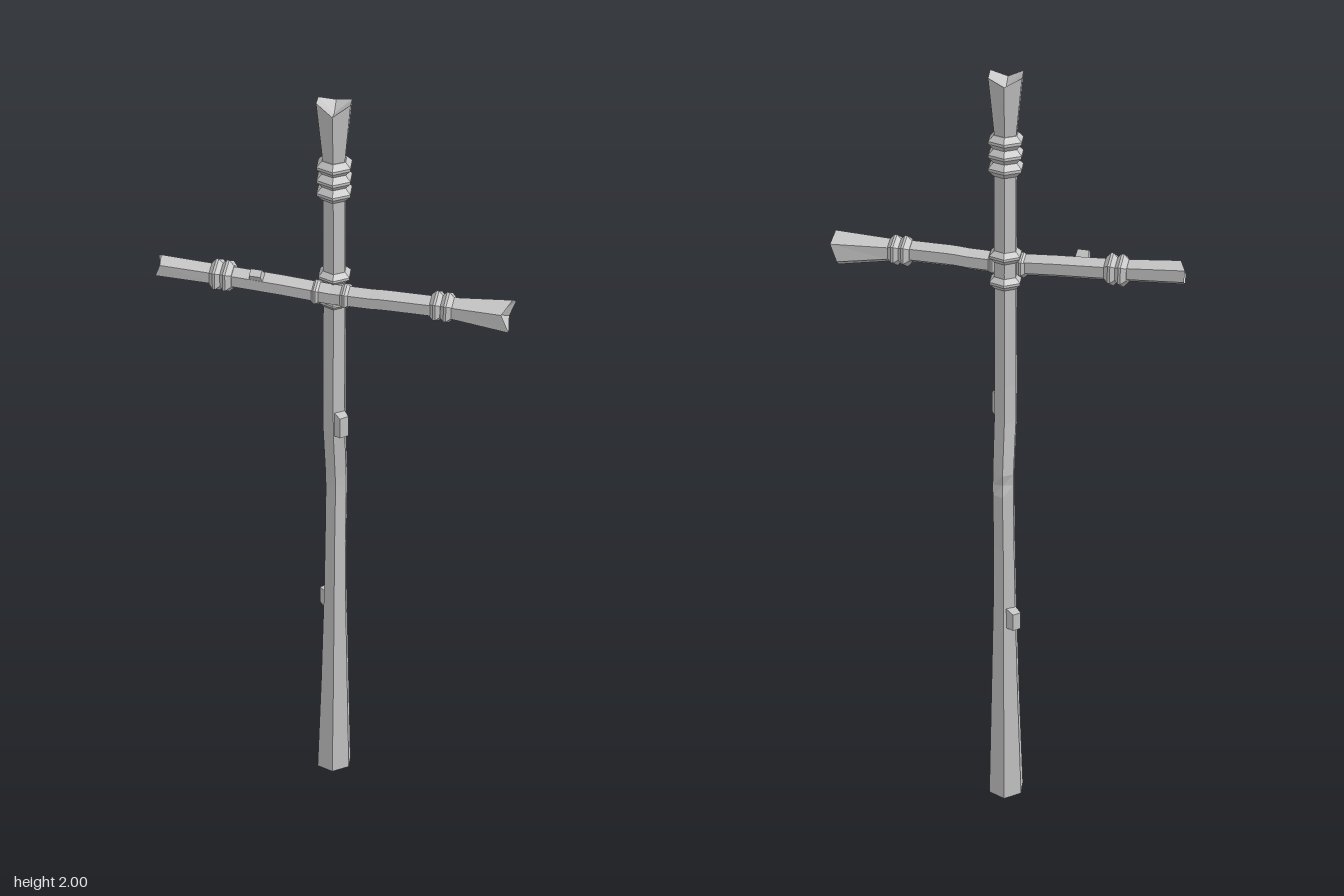
import * as THREE from 'three';

const stone = new THREE.MeshStandardMaterial({ color: 0xc6c6c6, flatShading: true });
stone.name = 'light grey wood';

const SIDES = 6;

// Hexagonal loft along 'y' (u = z, v = x) or 'x' (u = y, v = z).
// Section: [t, u, v, radius, optional end offsets per corner, optional corner pushed in]
function loft(axis, sections, twist, capStart, capEnd) {
  const place = (t, u, v) => (axis === 'y' ? [v, t, u] : [t, u, v]);
  const rings = sections.map(([t, u, v, r, jag, dent]) =>
    Array.from({ length: SIDES }, (_, i) => {
      const a = twist + (i / SIDES) * Math.PI * 2;
      const k = dent === i ? r * 0.7 : r;
      return place(t + (jag ? jag[i] : 0), u + k * Math.cos(a), v + k * Math.sin(a));
    }));
  const pos = [];
  const tri = (a, b, c) => pos.push(...a, ...b, ...c);
  const first = sections[0], last = sections[sections.length - 1];
  const start = place(first[0] + capStart, first[1], first[2]);
  const end = place(last[0] + capEnd, last[1], last[2]);
  for (let i = 0; i < SIDES; i++) {
    const j = (i + 1) % SIDES;
    for (let s = 0; s < rings.length - 1; s++) {
      const a = rings[s], b = rings[s + 1];
      tri(a[i], a[j], b[j]);
      tri(a[i], b[j], b[i]);
    }
    tri(start, rings[0][j], rings[0][i]);
    tri(end, rings[rings.length - 1][i], rings[rings.length - 1][j]);
  }
  const g = new THREE.BufferGeometry();
  g.setAttribute('position', new THREE.Float32BufferAttribute(pos, 3));
  g.computeVertexNormals();
  return g;
}

export function createModel() {
  const model = new THREE.Group();
  const add = (name, geometry) => {
    const mesh = new THREE.Mesh(geometry, stone);
    mesh.name = name;
    model.add(mesh);
    return mesh;
  };
  const poleTwist = THREE.MathUtils.degToRad(10);

  // Upright pole: thick foot, slight bend, flared ragged top
  add('pole', loft('y', [
    [0.01, -0.017, -0.005, 0.049, [0.004, 0.004, -0.004, -0.006, -0.002, 0]],
    [0.3, -0.018, -0.003, 0.04],
    [0.6, -0.019, -0.002, 0.032],
    [0.75, -0.022, -0.002, 0.03],
    [0.9, -0.026, -0.001, 0.03],
    [0.93, -0.026, -0.001, 0.03, null, 3],
    [0.96, -0.025, -0.001, 0.03],
    [1.1, -0.011, -0.002, 0.031],
    [1.2, -0.009, -0.002, 0.031],
    [1.5, -0.012, -0.002, 0.03],
    [1.85, -0.013, -0.003, 0.03],
    [1.985, -0.015, -0.004, 0.046, [-0.008, 0.014, 0.008, -0.006, 0.01, 0.015]],
  ], poleTwist, -0.01, -0.02));

  // Crossbeam: one slim broken end, one flared end
  add('crossbeam', loft('x', [
    [-0.432, 1.525, 0.036, 0.03, [0.008, 0.012, 0, -0.004, -0.006, -0.008]],
    [-0.27, 1.517, 0.026, 0.028],
    [-0.12, 1.511, 0.023, 0.028],
    [0, 1.504, 0.021, 0.028],
    [0.1, 1.506, 0.021, 0.028],
    [0.125, 1.508, 0.021, 0.028, null, 3],
    [0.15, 1.509, 0.021, 0.028],
    [0.24, 1.51, 0.019, 0.028],
    [0.3, 1.509, 0.015, 0.03],
    [0.432, 1.504, 0.006, 0.045, [0.006, -0.012, 0.008, 0, -0.008, 0.008]],
  ], 0, 0.02, -0.025));

  // Wrapped bands, each with a narrow outer ridge
  const band = (name, axis, t, u, v, r, half, twist) =>
    add(name, loft(axis, [
      [t - half, u, v, r * 0.7],
      [t - half * 0.2, u, v, r],
      [t + half * 0.2, u, v, r],
      [t + half, u, v, r * 0.7],
    ], twist, 0, 0));
  for (const y of [1.765, 1.799, 1.833]) band('topBand', 'y', y, -0.013, -0.003, 0.046, 0.017, poleTwist);
  for (const y of [1.473, 1.541]) band('jointBand', 'y', y, -0.012, -0.002, 0.043, 0.015, poleTwist);
  for (const x of [-0.036, 0.036]) band('beamJointBand', 'x', x, 1.505, 0.021, 0.034, 0.014, 0);
  for (const x of [-0.284, -0.258]) band('rightArmBand', 'x', x, 1.517, 0.026, 0.043, 0.015, 0);
  for (const x of [0.259, 0.285]) band('leftArmBand', 'x', x, 1.51, 0.015, 0.041, 0.015, 0);

  // Cut twig stubs: tapered blocks pointing outwards
  const stub = (name, from, dir, length, width, height) => {
    const g = new THREE.CylinderGeometry(0.5, Math.SQRT1_2, 1, 4);
    g.rotateY(Math.PI / 4);
    g.translate(0, 0.5, 0);
    g.rotateX(Math.PI / 2);
    g.scale(width, height, length);
    const mesh = add(name, g);
    mesh.position.set(...from);
    mesh.lookAt(new THREE.Vector3(...from).add(new THREE.Vector3(...dir)));
  };
  stub('upperStub', [-0.002, 1.13, -0.01], [0.7, 0, 0.7], 0.049, 0.034, 0.08);
  stub('lowerStub', [-0.003, 0.547, -0.019], [-0.75, 0, -0.65], 0.055, 0.032, 0.066);
  stub('beamStub', [-0.182, 1.513, 0.024], [0, 0.8, 0.55], 0.043, 0.04, 0.028);

  return model;
}
